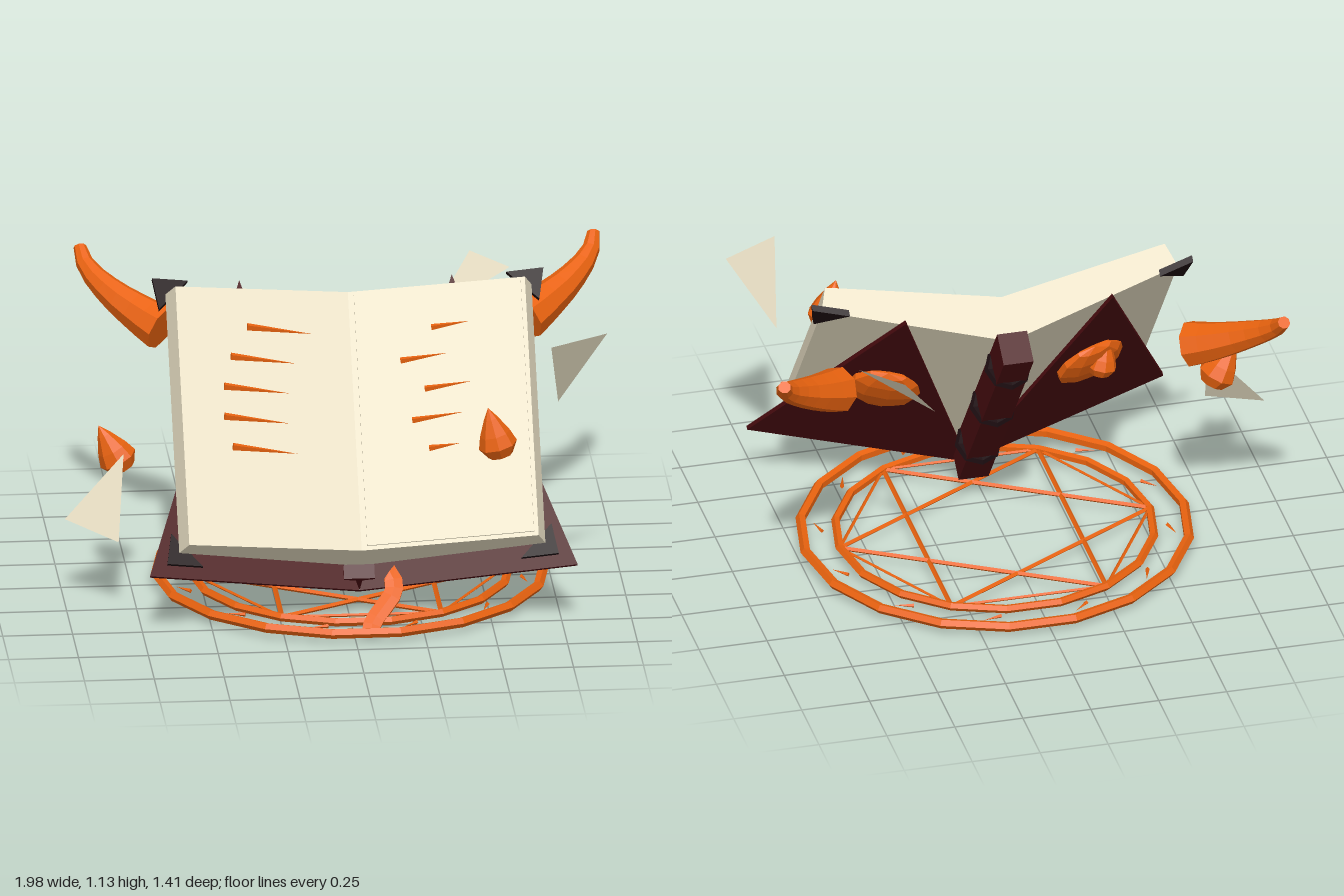
import * as THREE from 'three';

const mat = (color, side = THREE.FrontSide) =>
  new THREE.MeshStandardMaterial({ color, flatShading: true, side });
const ORANGE = mat(0xe8620f), RED = mat(0x4a0c10), BLACK = mat(0x1c0d10);
const CREAM = mat(0xe8dfc4), PAPER = mat(0xe8dfc4, THREE.DoubleSide);
const CX = 0.035; // book and circle axis
const V = (a) => new THREE.Vector3(...a);

function add(parent, name, geometry, material) {
  const mesh = new THREE.Mesh(geometry, material);
  mesh.name = name;
  parent.add(mesh);
  return mesh;
}

const shapeOf = (pts) => new THREE.Shape(pts.map(([x, y]) => new THREE.Vector2(x, y)));

// Thin plate following the slope of the open covers
function coverPlate(pts, depth, offset) {
  const g = new THREE.ExtrudeGeometry(shapeOf(pts), { depth, bevelEnabled: false });
  const p = g.attributes.position;
  for (let i = 0; i < p.count; i++) p.setZ(i, p.getZ(i) + offset + 0.3 * Math.abs(p.getX(i)));
  g.computeVertexNormals();
  return g;
}

// Cross-section in (x, z) extruded along y
function prism(pts, height) {
  const g = new THREE.ExtrudeGeometry(shapeOf(pts), { depth: height, bevelEnabled: false });
  return g.translate(0, 0, -height / 2).rotateX(Math.PI / 2);
}

// Closed tube whose radius follows a rule
function taperedTube(points, radius, seg, sides) {
  const curve = new THREE.CatmullRomCurve3(points.map(V));
  const g = new THREE.TubeGeometry(curve, seg, 1, sides);
  const p = g.attributes.position, v = new THREE.Vector3();
  for (let i = 0; i <= seg; i++) {
    const own = curve.getPointAt(i / seg);
    const centre = curve.getPointAt(THREE.MathUtils.clamp(i, 1, seg - 1) / seg);
    const r = i === 0 || i === seg ? 0 : radius((i - 1) / (seg - 2));
    for (let j = 0; j <= sides; j++) {
      const k = i * (sides + 1) + j;
      v.fromBufferAttribute(p, k).sub(own).multiplyScalar(r).add(centre);
      p.setXYZ(k, v.x, v.y, v.z);
    }
  }
  g.computeVertexNormals();
  return g;
}

function rod(a, b, r) {
  return new THREE.TubeGeometry(new THREE.LineCurve3(V(a), V(b)), 1, r, 4);
}

function buildBook() {
  const book = new THREE.Group();
  book.name = 'book';
  book.position.set(CX, 0.555, 0.045);
  book.rotation.x = -0.655;

  // Page block, thicker at the gutter
  add(book, 'pages', prism([[-0.625, 0.325], [-0.655, 0.235], [0, 0.03],
    [0.655, 0.235], [0.625, 0.325], [0, 0.203]], 0.97), CREAM).position.y = 0.013;
  // Loose top sheet
  add(book, 'looseSheet', prism([[0.02, 0.208], [0.61, 0.323], [0.609, 0.329], [0.02, 0.214]], 0.94),
    CREAM).position.y = 0.013;

  // Spine with bands
  add(book, 'spine', new THREE.BoxGeometry(0.11, 1.07, 0.12), RED).position.set(0, 0.01, -0.015);
  for (const y of [0.36, 0.01, -0.34]) {
    const band = add(book, 'spineBand', new THREE.TorusGeometry(0.07, 0.016, 5, 8), BLACK);
    band.rotation.x = Math.PI / 2;
    band.position.set(0, y, -0.015);
  }

  const rows = { '-1': [0.255, 0.32, 0.35, 0.355, 0.33], '1': [0.365, 0.27, 0.35, 0.31, 0.32] };
  for (const s of [-1, 1]) {
    // Pointed covers and corner guards
    add(book, 'cover', coverPlate([[0, -0.56], [0.765 * s, -0.56], [0.38 * s, 0.577]], 0.015, 0.003), RED);
    for (const [y, d] of [[0.557, -0.115], [-0.515, 0.115]])
      add(book, 'cornerGuard', coverPlate([[0.7 * s, y], [0.57 * s, y], [0.68 * s, y + d]], 0.025, 0.01), BLACK);

    // Round bosses on the covers
    const boss = add(book, 'coverBoss', new THREE.SphereGeometry(0.135, 9, 6), ORANGE);
    boss.scale.z = 0.32;
    boss.position.set(0.38 * s, 0.01, 0.105);
    boss.rotation.y = -0.29 * s;

    // Rows of writing strokes
    rows[s].forEach((x, i) => {
      const len = s < 0 ? 0.24 : [0.16, 0.2, 0.2, 0.22, 0.13][i];
      const g = new THREE.ConeGeometry(0.014, len, 4).rotateZ(-Math.PI / 2);
      const stroke = add(book, 'writingStroke', g, ORANGE);
      stroke.position.set(x * s, 0.344 - 0.113 * i, 0.208 + 0.195 * x);
      stroke.rotation.set(0, -0.193 * s, 0.08 * s);
    });
  }
  return book;
}

function buildCircle() {
  const circle = new THREE.Group();
  circle.name = 'floorCircle';
  circle.position.set(CX, 0.062, 0);
  for (const [r, t, n] of [[0.695, 0.019, 18], [0.57, 0.016, 18]]) {
    const ring = add(circle, 'floorRing', new THREE.TorusGeometry(r, t, 5, n), ORANGE);
    ring.rotation.x = Math.PI / 2;
  }
  // Six-pointed star and its outline
  const at = (k) => [0.57 * Math.cos(k * Math.PI / 3), 0, 0.57 * Math.sin(k * Math.PI / 3)];
  for (let k = 0; k < 6; k++) {
    add(circle, 'starLine', rod(at(k), at(k + 2), 0.009), ORANGE);
    add(circle, 'starEdge', rod(at(k), at(k + 1), 0.006), ORANGE);
  }
  // Small dashes between the rings
  for (let k = 0; k < 12; k++) {
    const a = (k + 0.5) * Math.PI / 6;
    const dash = add(circle, 'ringDash', new THREE.ConeGeometry(0.008, 0.07, 4).rotateZ(Math.PI / 2), ORANGE);
    dash.position.set(0.632 * Math.sin(a), 0, 0.632 * Math.cos(a));
    dash.rotation.y = a + 0.5;
  }
  return circle;
}

export function createModel() {
  const model = new THREE.Group();
  model.name = 'hornedBook';
  model.add(buildBook(), buildCircle());

  // Horns
  for (const s of [-1, 1]) {
    const path = [[0.6, 0.87, -0.245], [0.72, 0.925, -0.34], [0.83, 0.99, -0.43],
      [0.905, 1.06, -0.52], [0.925, 1.15, -0.62]].map(([x, y, z]) => [CX + s * x, y, z]);
    add(model, 'horn', taperedTube(path, (t) => 0.085 - 0.062 * t, 9, 8), ORANGE);
  }

  // Flat curled bookmark ribbon
  const ribbon = add(model, 'bookmark', taperedTube([[0.105, 0.29, 0], [0.14, 0.28, 0], [0.15, 0.21, 0],
    [0.105, 0.14, 0], [0.065, 0.08, 0], [0.055, 0.01, 0]], () => 0.037, 10, 6), ORANGE);
  ribbon.scale.z = 0.35;
  ribbon.rotation.x = -Math.PI / 4;
  ribbon.position.z = 0.64;

  // Floating drops of flame
  const profile = [[0, -0.07], [0.045, -0.055], [0.07, -0.015], [0.055, 0.03], [0.025, 0.09], [0, 0.13]]
    .map(([r, y]) => new THREE.Vector2(r, y));
  for (const [x, y, z, tilt, k] of [[0.515, 0.72, 0.535, 0.25, 1], [-0.81, 0.545, 0.08, 0.5, 1],
    [-0.38, 0.64, 0.08, 0.2, 0.8]]) {
    const drop = add(model, 'flameDrop', new THREE.LatheGeometry(profile, 8), ORANGE);
    drop.position.set(x, y, z);
    drop.rotation.z = tilt;
    drop.scale.setScalar(k);
  }

  // Floating torn paper
  for (const tri of [
    [[0.71, 1.065, 0.53], [0.92, 1.07, 0.41], [0.75, 0.795, 0.345]],
    [[-1, 0.34, 0.17], [-0.79, 0.58, 0.17], [-0.82, 0.3, 0.32]],
    [[0.51, 1.05, -0.57], [0.64, 1.04, -0.41], [0.37, 0.855, -0.46]],
  ]) {
    const g = new THREE.BufferGeometry().setFromPoints(tri.map(V));
    g.computeVertexNormals();
    add(model, 'paperScrap', g, PAPER);
  }
  return model;
}
